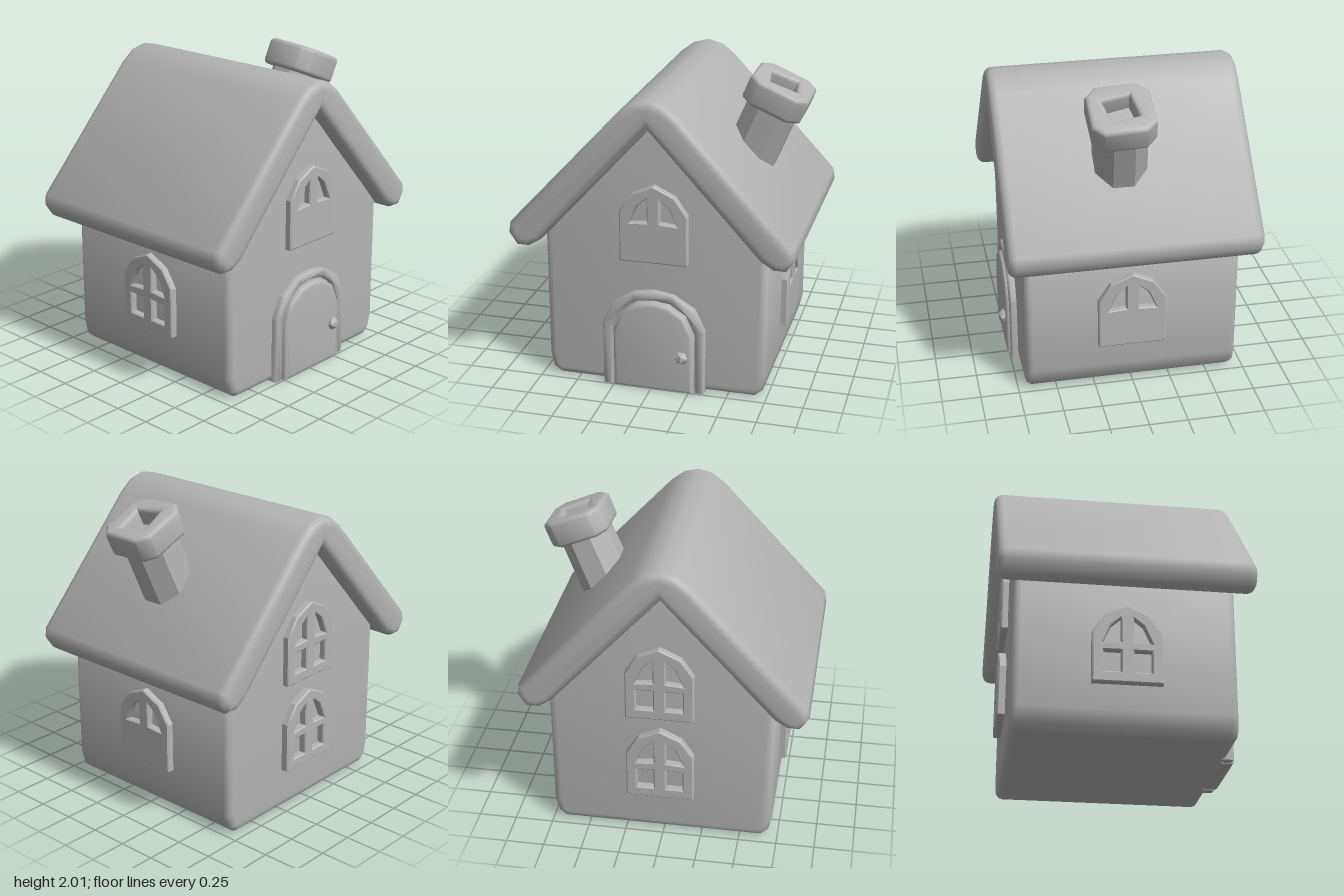
import * as THREE from 'three';
import { toCreasedNormals } from 'three/addons/utils/BufferGeometryUtils.js';

const stone = new THREE.MeshStandardMaterial({ color: 0xb4b4b4 });
stone.name = 'plain grey';

const vecs = (pts) => pts.map(([x, y]) => new THREE.Vector2(x, y));

// Half outline (right side, bottom to top, last point on the axis) mirrored to a full one
const mirrored = (half) =>
  half.concat(half.slice(0, -1).reverse().map(([x, y]) => [-x, y]));

// Extrude from z0 to z1 with rounded edges that stay inside the outline
function slab(name, outline, holes, z0, z1, bevel, crease = 0.8) {
  const shape = new THREE.Shape(vecs(outline));
  shape.holes = holes.map((h) => new THREE.Path(vecs(h)));
  const g = new THREE.ExtrudeGeometry(shape, {
    depth: z1 - z0 - 2 * bevel,
    bevelEnabled: true,
    bevelSize: bevel,
    bevelOffset: -bevel,
    bevelThickness: bevel,
    bevelSegments: bevel > 0.025 ? 4 : 1,
  });
  g.translate(0, 0, z0 + bevel);
  const mesh = new THREE.Mesh(toCreasedNormals(g, crease), stone);
  mesh.name = name;
  return mesh;
}

// Arched window frame; the lower panes are optional
function makeWindow(name, lowerPanes) {
  const outline = mirrored([[0.22, 0], [0.22, 0.33], [0.14, 0.45], [0, 0.515]]);
  const holes = [];
  for (const s of [-1, 1]) {
    holes.push([[s * 0.04, 0.27], [s * 0.155, 0.26], [s * 0.1, 0.38], [s * 0.04, 0.43]]);
    if (lowerPanes) {
      holes.push([[s * 0.04, 0.07], [s * 0.15, 0.07], [s * 0.15, 0.21], [s * 0.04, 0.21]]);
    }
  }
  return slab(name, outline, holes, -0.03, 0.045, 0.008, 0.5);
}

export function createModel() {
  const house = new THREE.Group();
  house.name = 'cottage';

  // Walls with gables, extruded along x
  const walls = slab('walls', [
    [-0.64, 0.01], [0.67, 0.01], [0.72, 0.05], [0.745, 0.15], [0.745, 1.07],
    [0, 1.87], [-0.71, 1.07], [-0.71, 0.15], [-0.69, 0.05],
  ], [], -0.695, 0.7, 0.05);
  walls.rotation.y = Math.PI / 2;
  house.add(walls);

  // Thick rounded roof
  const half = [
    [0.71, 0.99], [0.79, 0.94], [0.87, 0.94], [0.925, 1.02], [0.915, 1.09],
    [0.19, 1.87], [0.1, 1.94], [0, 1.965],
  ];
  const roof = slab('roof', mirrored(half).concat([[0, 1.77]]), [], -0.81, 0.81, 0.055, 1.0);
  roof.rotation.y = Math.PI / 2;
  house.add(roof);

  // Leaning chimney: octagonal shaft and a hollow cap
  const chimney = new THREE.Group();
  chimney.name = 'chimney';
  const shaftShape = new THREE.CylinderGeometry(0.175, 0.18, 0.46, 8).toNonIndexed();
  shaftShape.rotateY(Math.PI / 8);
  const shaft = new THREE.Mesh(toCreasedNormals(shaftShape, 0.4), stone);
  shaft.name = 'chimneyShaft';
  shaft.position.y = -0.26;
  const a = 0.2, b = 0.13;
  const cap = slab('chimneyCap',
    [[a, -b], [a, b], [b, a], [-b, a], [-a, b], [-a, -b], [-b, -a], [b, -a]],
    [[[0.1, -0.07], [0.07, 0.1], [-0.1, 0.07], [-0.07, -0.1]]],
    -0.09, 0.09, 0.03);
  cap.rotation.x = -Math.PI / 2;
  chimney.add(shaft, cap);
  chimney.position.set(0.07, 1.86, -0.67);
  chimney.rotation.set(-0.4, 0, -0.06);
  house.add(chimney);

  // Windows: name, position on the wall, turn, lower panes
  const windows = [
    ['frontWindow', [0.01, 0.315, 0.71], 0, true],
    ['backWindow', [0.01, 0.315, -0.745], Math.PI, false],
    ['doorGableWindow', [0.7, 0.89, -0.02], Math.PI / 2, false],
    ['upperGableWindow', [-0.695, 0.89, -0.02], -Math.PI / 2, true],
    ['lowerGableWindow', [-0.7, 0.29, -0.02], -Math.PI / 2, true],
  ];
  for (const [name, pos, turn, lower] of windows) {
    const w = makeWindow(name, lower);
    w.position.set(...pos);
    w.rotation.y = turn;
    house.add(w);
  }

  // Arched door with surround and knob
  const door = new THREE.Group();
  door.name = 'door';
  const outer = mirrored([[0.335, 0], [0.335, 0.44], [0.27, 0.58], [0.13, 0.665], [0, 0.685]]);
  const inner = mirrored([[0.275, 0], [0.275, 0.41], [0.215, 0.54], [0.11, 0.61], [0, 0.625]]);
  const surround = slab('doorSurround', outer.concat(inner.slice().reverse()), [], -0.04, 0.045, 0.01);
  const leaf = slab('doorLeaf',
    mirrored([[0.262, 0], [0.262, 0.4], [0.205, 0.53], [0.105, 0.597], [0, 0.612]]),
    [], -0.04, 0.065, 0.026);
  const knob = new THREE.Mesh(new THREE.IcosahedronGeometry(0.045, 0), stone);
  knob.name = 'doorKnob';
  knob.position.set(0.195, 0.26, 0.075);
  knob.scale.z = 0.8;
  door.add(surround, leaf, knob);
  door.position.set(0.7, 0.01, -0.015);
  door.rotation.y = Math.PI / 2;
  house.add(door);

  return house;
}
